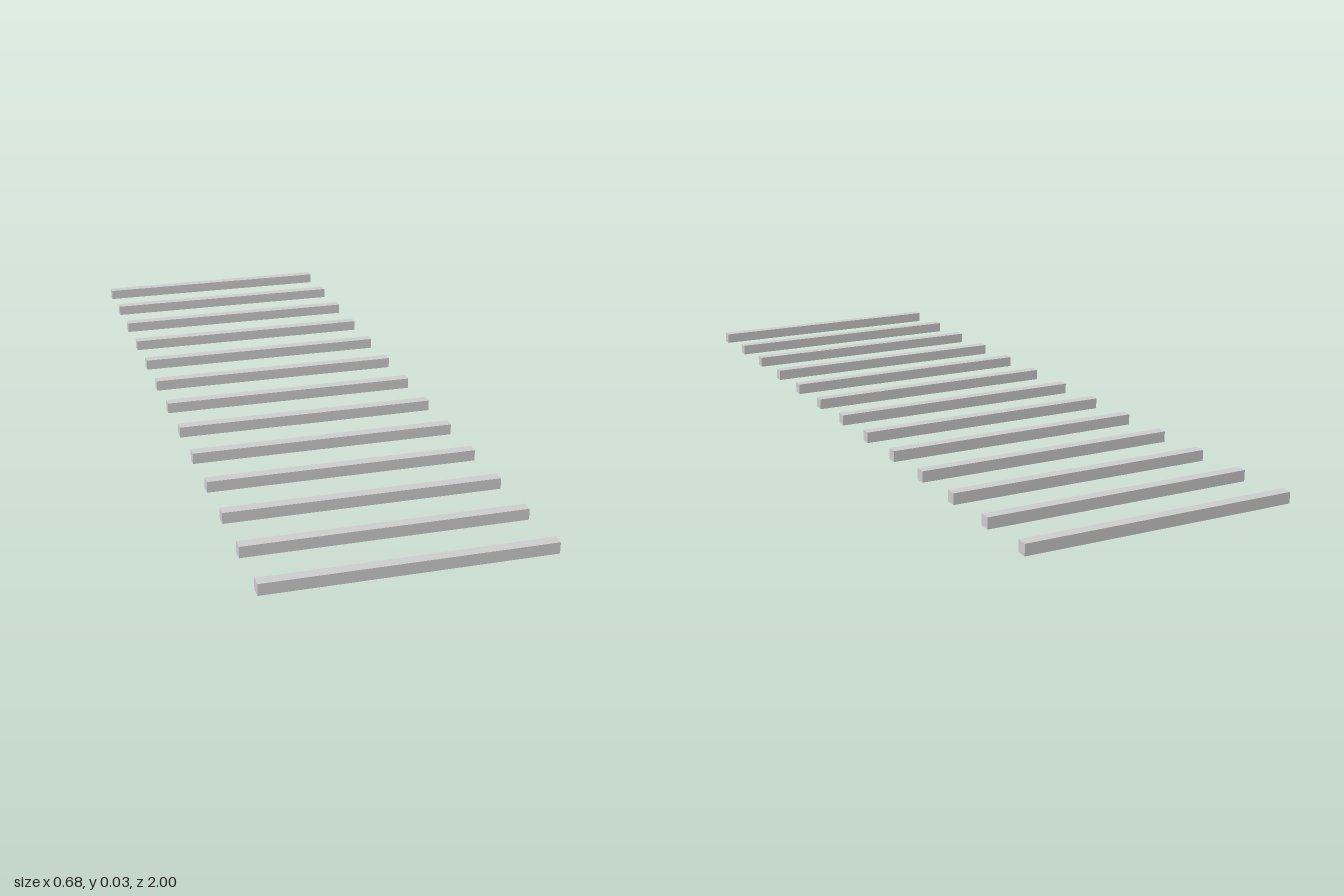
import * as THREE from 'three';

export function createModel() {
  const group = new THREE.Group();
  group.name = 'slats';

  const count = 13;
  const width = 0.683, height = 0.028, depth = 0.027;
  const spacing = (2 - depth) / (count - 1);

  const material = new THREE.MeshStandardMaterial({ color: 0xcccccc });
  const geometry = new THREE.BoxGeometry(width, height, depth);

  // Evenly spaced row of parallel square bars lying on the ground
  for (let i = 0; i < count; i++) {
    const slat = new THREE.Mesh(geometry, material);
    slat.name = `slat${i + 1}`;
    slat.position.set(0, height / 2, (i - (count - 1) / 2) * spacing);
    group.add(slat);
  }
  return group;
}
